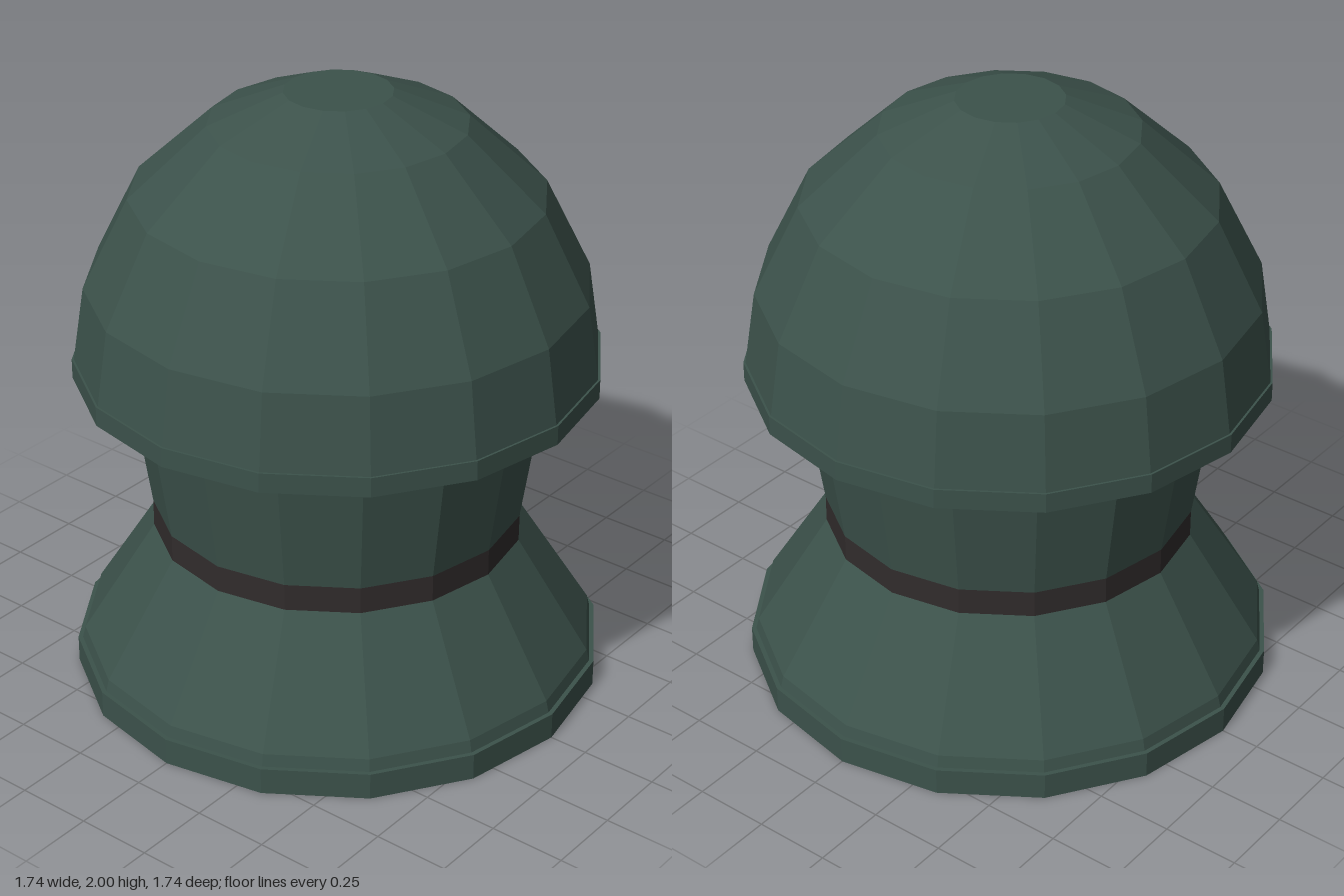
import * as THREE from 'three';

const SIDES = 16;

// Faceted solid of revolution from [radius, height] pairs, listed bottom to top
function turned(name, profile, material) {
  const points = profile.map(([r, y]) => new THREE.Vector2(r, y));
  const geometry = new THREE.LatheGeometry(points, SIDES).toNonIndexed();
  geometry.computeVertexNormals();
  const mesh = new THREE.Mesh(geometry, material);
  mesh.name = name;
  return mesh;
}

export function createModel() {
  const green = new THREE.MeshStandardMaterial({ color: 0x3c524b });
  green.name = 'dark green';
  const charcoal = new THREE.MeshStandardMaterial({ color: 0x312c2c });
  charcoal.name = 'charcoal';

  const model = new THREE.Group();
  model.name = 'domedPost';
  model.add(
    // Foot plate with closed underside
    turned('foot', [[0, 0], [0.87, 0], [0.87, 0.09], [0.855, 0.09]], green),
    // Flared skirt rising to the waist
    turned('skirt', [[0.855, 0.09], [0.845, 0.13], [0.605, 0.51]], green),
    // Dark band round the waist
    turned('waistBand', [[0.605, 0.51], [0.605, 0.6]], charcoal),
    // Neck widening upward
    turned('neck', [[0.605, 0.6], [0.665, 1.01]], green),
    // Collar and rim below the dome
    turned('rim', [[0.665, 1.01], [0.77, 1.065], [0.845, 1.065], [0.845, 1.13], [0.838, 1.13]], green),
    // Dome with a small flat top
    turned('dome', [[0.838, 1.13], [0.8, 1.375], [0.653, 1.67], [0.405, 1.9], [0.17, 2], [0, 2]], green)
  );
  return model;
}
